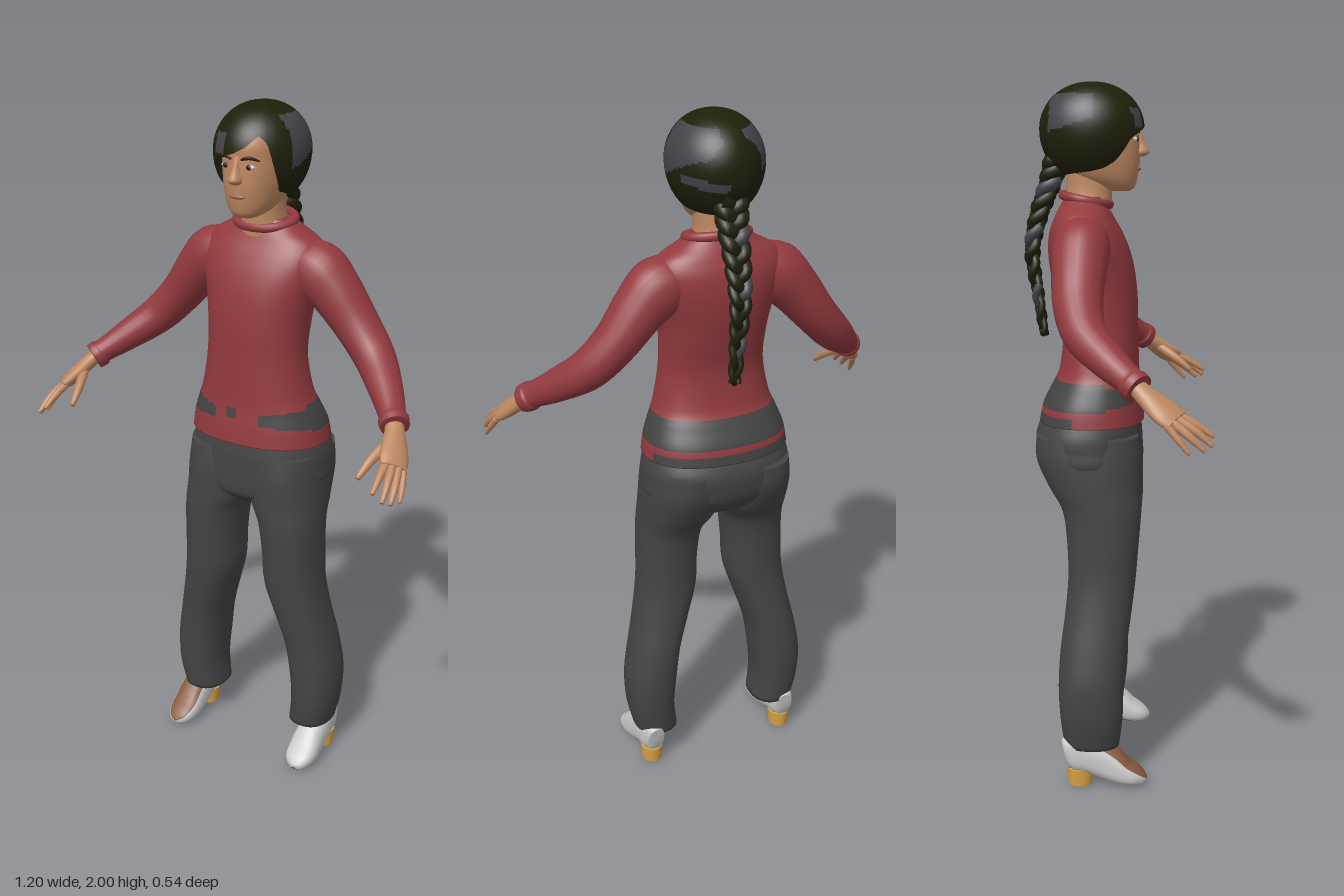
import * as THREE from 'three';

const mat = (name, color, side = THREE.FrontSide) => {
  const m = new THREE.MeshStandardMaterial({ color, side });
  m.name = name;
  return m;
};

// Smooth interpolation through rows of numbers, t in 0..1
function sample(rows, t) {
  const f = t * (rows.length - 1), i = Math.min(Math.floor(f), rows.length - 2), k = f - i;
  const at = (j) => rows[Math.max(0, Math.min(rows.length - 1, j))];
  const [a, b, c, d] = [at(i - 1), at(i), at(i + 1), at(i + 2)];
  return b.map((_, n) => b[n] + 0.5 * k * (c[n] - a[n] + k * (2 * a[n] - 5 * b[n] + 4 * c[n] - d[n]
    + k * (3 * (b[n] - c[n]) + d[n] - a[n]))));
}

// Closed skin from fn(u, v); pick chooses a material index for each quad
function skin(nu, nv, fn, { caps = true, pick = null } = {}) {
  const rows = [];
  for (let j = 0; j <= nv; j++) {
    const ring = [];
    for (let i = 0; i < nu; i++) ring.push(fn(i / nu, j / nv));
    rows.push(ring);
  }
  if (caps) {
    const collapse = (ring) => {
      const c = new THREE.Vector3();
      ring.forEach((p) => c.addScaledVector(p, 1 / nu));
      return ring.map(() => c);
    };
    rows.unshift(collapse(rows[0]));
    rows.push(collapse(rows[rows.length - 1]));
  }
  const pos = rows.flat().flatMap((p) => [p.x, p.y, p.z]);
  const lists = [];
  for (let j = 0; j < rows.length - 1; j++) {
    for (let i = 0; i < nu; i++) {
      const k = (i + 1) % nu, a = j * nu + i, b = j * nu + k, c = b + nu, d = a + nu;
      const mid = rows[j][i].clone().add(rows[j + 1][k]).multiplyScalar(0.5);
      const m = pick ? pick(mid, (i + 0.5) / nu, j / rows.length) : 0;
      (lists[m] ??= []).push(a, b, c, a, c, d);
    }
  }
  const g = new THREE.BufferGeometry();
  g.setAttribute('position', new THREE.Float32BufferAttribute(pos, 3));
  g.setIndex(lists.flat());
  let start = 0;
  lists.forEach((l, m) => {
    if (pick) g.addGroup(start, l.length, m);
    start += l.length;
  });
  g.computeVertexNormals();
  return g;
}

const round = (c, n) => Math.sign(c) * Math.abs(c) ** (2 / n);

// Upright body: rows of [y, halfWidth, zBack, zFront, xCentre], bottom to top
function loft(rows, { nu = 40, nv = 40, n = 2.3, side = 1, pick = null } = {}) {
  return skin(nu, nv, (u, v) => {
    const [y, rx, zb, zf, cx] = sample(rows, v), a = u * Math.PI * 2;
    return new THREE.Vector3(side * cx + rx * round(Math.sin(a), n), y,
      (zb + zf) / 2 + (zf - zb) / 2 * round(Math.cos(a), n));
  }, { pick });
}

// Limb along a path: rows of [x, y, z, radius along ref, other radius]
function limb(rows, { side = 1, ref = [1, 1, 0], nu = 20, nv = 24, n = 2, pick = null } = {}) {
  const P = (v) => { const s = sample(rows, v); return new THREE.Vector3(side * s[0], s[1], s[2]); };
  return skin(nu, nv, (u, v) => {
    const s = sample(rows, v), a = u * Math.PI * 2;
    const T = P(Math.min(1, v + 0.01)).sub(P(Math.max(0, v - 0.01))).normalize();
    const A = new THREE.Vector3(side * ref[0], ref[1], ref[2]);
    A.addScaledVector(T, -A.dot(T)).normalize();
    const B = T.clone().cross(A);
    return P(v).addScaledVector(A, s[3] * round(Math.cos(a), n)).addScaledVector(B, s[4] * round(Math.sin(a), n));
  }, { pick });
}

export function createModel() {
  const red = mat('shirt red', 0x933a3e), grey = mat('trouser grey', 0x444445);
  const hair = mat('dark hair', 0x1f2009, THREE.DoubleSide), streak = mat('hair grey', 0x43434a, THREE.DoubleSide);
  const flesh = mat('skin', 0xbd8760), lip = mat('lips', 0x9c6550), white = mat('shoe white', 0xc9c9c9);
  const tan = mat('heel tan', 0xd8a243), brown = mat('sole brown', 0x8a5a40), dark = mat('eye dark', 0x2c1712);
  const model = new THREE.Group();
  model.name = 'standingFigure';
  const add = (name, geo, material, parent = model) => {
    const m = new THREE.Mesh(geo, material);
    m.name = name;
    parent.add(m);
    return m;
  };
  const ball = (name, material, p, r) => {
    const m = add(name, new THREE.SphereGeometry(1, 16, 12), material);
    m.position.set(...p);
    m.scale.set(...r);
  };

  // Shirt, with the trouser waistband showing round the sides and back
  const waist = ({ x, y, z }) => {
    if (z < -0.03) return (y > 1.095 && y < 1.172) || (z < -0.12 && y < 1.075) ? 1 : 0;
    if (Math.abs(x) > 0.07) return y > 1.105 + (0.2 - Math.abs(x)) * 0.1 && y < 1.135 + Math.abs(x) * 0.15 ? 1 : 0;
    return Math.abs(x + 0.01) < 0.016 && y > 1.125 && y < 1.155 ? 1 : 0;
  };
  add('shirt', loft([
    [1.05, 0.213, -0.228, 0.075, 0], [1.10, 0.205, -0.217, 0.07, 0], [1.15, 0.187, -0.192, 0.063, 0],
    [1.20, 0.168, -0.17, 0.06, 0], [1.30, 0.15, -0.16, 0.057, 0], [1.40, 0.152, -0.18, 0.055, 0],
    [1.48, 0.165, -0.195, 0.046, 0], [1.54, 0.18, -0.2, 0.03, 0], [1.59, 0.185, -0.195, 0.008, 0],
    [1.63, 0.165, -0.18, -0.015, 0], [1.66, 0.115, -0.165, -0.03, 0], [1.685, 0.08, -0.152, -0.04, 0],
  ], { nu: 96, nv: 110, pick: waist }), [red, grey]);
  const collar = add('collar', new THREE.TorusGeometry(0.087, 0.013, 12, 40).rotateX(Math.PI / 2).scale(1, 1, 0.8), red);
  collar.position.set(0, 1.676, -0.092);
  collar.rotation.x = 0.2;

  // Trouser seat
  add('trouserSeat', loft([
    [0.855, 0.07, -0.14, 0.03, 0], [0.885, 0.165, -0.19, 0.064, 0], [0.93, 0.215, -0.226, 0.07, 0],
    [0.98, 0.217, -0.238, 0.07, 0], [1.02, 0.214, -0.237, 0.069, 0], [1.07, 0.2, -0.215, 0.062, 0],
  ]), grey);

  for (const side of [1, -1]) {
    const label = side > 0 ? 'left' : 'right';
    const limbs = new THREE.Group();
    limbs.name = label + 'Limbs';
    model.add(limbs);

    add(label + 'TrouserLeg', loft([
      [0.115, 0.066, -0.15, 0.01, 0.198], [0.2, 0.07, -0.16, 0.02, 0.211], [0.3, 0.076, -0.165, 0.023, 0.208],
      [0.4, 0.075, -0.16, 0.03, 0.192], [0.5, 0.08, -0.148, 0.043, 0.166], [0.6, 0.087, -0.14, 0.055, 0.143],
      [0.7, 0.087, -0.142, 0.063, 0.138], [0.8, 0.092, -0.155, 0.07, 0.13], [0.87, 0.108, -0.195, 0.07, 0.112],
      [0.95, 0.108, -0.23, 0.07, 0.108], [1.02, 0.1, -0.23, 0.06, 0.108],
    ], { side, nv: 50 }), grey, limbs);

    // Shoe with a brown forefoot sole and a tan heel
    add(label + 'Shoe', limb([
      [0.22, 0.09, -0.145, 0.026, 0.045], [0.221, 0.095, -0.12, 0.036, 0.055], [0.222, 0.09, -0.07, 0.042, 0.055],
      [0.222, 0.066, -0.02, 0.046, 0.05], [0.223, 0.043, 0.02, 0.048, 0.038], [0.224, 0.03, 0.055, 0.044, 0.027],
      [0.225, 0.021, 0.078, 0.03, 0.017], [0.225, 0.018, 0.09, 0.012, 0.008],
    ], { side, ref: [1, 0, 0], n: 2.5, nu: 28, pick: (p, u, v) => (Math.sin(u * Math.PI * 2) < -0.6 && v > 0.3 ? 1 : 0) }),
    [white, brown], limbs);
    const heel = add(label + 'Heel', new THREE.CylinderGeometry(0.034, 0.03, 0.05, 20), tan, limbs);
    heel.position.set(side * 0.221, 0.025, -0.103);
    heel.scale.z = 1.15;

    // Sleeve ending in a slightly raised cuff
    add(label + 'Sleeve', limb([
      [0.11, 1.575, -0.095, 0.06, 0.07], [0.17, 1.55, -0.095, 0.084, 0.08], [0.225, 1.5, -0.097, 0.074, 0.076],
      [0.295, 1.415, -0.097, 0.062, 0.068], [0.365, 1.34, -0.075, 0.056, 0.06], [0.435, 1.28, -0.012, 0.046, 0.049],
      [0.485, 1.238, 0.045, 0.036, 0.039], [0.495, 1.229, 0.056, 0.041, 0.043], [0.508, 1.218, 0.072, 0.039, 0.041],
    ], { side, nv: 40 }), red, limbs);

    // Hand
    add(label + 'Palm', limb([
      [0.495, 1.23, 0.055, 0.026, 0.024], [0.512, 1.21, 0.08, 0.028, 0.022], [0.53, 1.182, 0.115, 0.037, 0.022],
      [0.545, 1.16, 0.145, 0.042, 0.019], [0.556, 1.145, 0.168, 0.037, 0.013],
    ], { side, ref: [0.04, -0.025, -0.03] }), flesh, limbs);
    const fingers = {
      Thumb: [[0.515, 1.19, 0.11], [0.492, 1.155, 0.165], [0.478, 1.115, 0.217]],
      Index: [[0.535, 1.16, 0.165], [0.541, 1.135, 0.215], [0.545, 1.105, 0.262]],
      Middle: [[0.55, 1.153, 0.162], [0.564, 1.122, 0.215], [0.572, 1.085, 0.258]],
      Ring: [[0.563, 1.145, 0.154], [0.578, 1.11, 0.2], [0.586, 1.075, 0.238]],
      Little: [[0.572, 1.138, 0.142], [0.586, 1.1, 0.174], [0.594, 1.068, 0.2]],
    };
    for (const [name, [a, b, c]] of Object.entries(fingers)) {
      const r = name === 'Thumb' ? 0.0135 : name === 'Little' ? 0.009 : 0.011;
      add(label + name, limb([[...a, r * 1.15, r * 1.15], [...b, r, r], [...c, r * 0.55, r * 0.55]],
        { side, nu: 10, nv: 8 }), flesh, limbs);
    }
  }

  // Neck, head and face
  add('neck', loft([[1.62, 0.075, -0.165, -0.02, 0], [1.7, 0.058, -0.148, -0.018, 0], [1.8, 0.06, -0.15, -0.01, 0]]), flesh);
  add('head', loft([
    [1.7, 0.026, -0.025, 0.03, 0], [1.712, 0.047, -0.07, 0.046, 0], [1.74, 0.067, -0.13, 0.054, 0],
    [1.78, 0.079, -0.17, 0.06, 0], [1.82, 0.086, -0.19, 0.06, 0], [1.86, 0.09, -0.2, 0.058, 0],
    [1.9, 0.09, -0.195, 0.056, 0], [1.94, 0.08, -0.17, 0.03, 0], [1.97, 0.045, -0.12, -0.03, 0],
  ]), flesh);
  add('nose', loft([
    [1.796, 0.014, 0.03, 0.072, 0], [1.808, 0.02, 0.03, 0.087, 0], [1.835, 0.012, 0.03, 0.074, 0], [1.87, 0.011, 0.03, 0.06, 0],
  ], { nu: 16, nv: 12, n: 2 }), flesh);
  ball('mouth', lip, [0, 1.762, 0.053], [0.026, 0.007, 0.01]);
  for (const s of [1, -1]) {
    ball('eye', white, [s * 0.037, 1.843, 0.048], [0.016, 0.007, 0.008]);
    ball('iris', dark, [s * 0.037, 1.843, 0.053], [0.008, 0.007, 0.005]);
    add('eyebrow', limb([[0.016, 1.862, 0.058, 0.003, 0.003], [0.038, 1.868, 0.053, 0.005, 0.005],
      [0.062, 1.86, 0.038, 0.002, 0.002]], { side: s, nu: 8, nv: 8, ref: [0, 1, 0] }), dark);
  }

  // Hair cap: the hem angle varies round the head to leave a swept fringe
  const hem = [[-180, 150], [-90, 140], [-70, 135], [-55, 125], [-40, 100], [-25, 93], [0, 86], [15, 78],
    [30, 65], [40, 72], [50, 105], [60, 130], [90, 140], [180, 150]];
  const hemAt = (deg) => {
    const i = Math.max(1, hem.findIndex((h) => h[0] >= deg));
    const [a, b] = [hem[i - 1], hem[i]];
    return a[1] + (b[1] - a[1]) * (deg - a[0]) / (b[0] - a[0]);
  };
  const capPoint = (u, v) => {
    const deg = u * 360 - 180, a = THREE.MathUtils.degToRad(deg);
    const th = THREE.MathUtils.degToRad(hemAt(deg) * (1 - v)), s = round(Math.sin(th), 2.15);
    return new THREE.Vector3(0.13 * s * Math.sin(a), 1.87 + (th < Math.PI / 2 ? 0.13 : 0.15) * Math.cos(th),
      -0.075 + 0.148 * s * Math.cos(a));
  };
  const streaks = ({ x, y, z }) => {
    const rightSide = x < -0.03 && z < -0.07 && z > -0.19 && y > 1.88 + (z + 0.13) * 0.3 && y < 1.965;
    const leftSide = x > 0.03 && z < -0.03 && z > -0.2 && y > 1.86 - (z + 0.1) * 0.4 && y < 1.972;
    const nape = z < -0.13 && x > 0.02 && Math.abs(y - 1.82 - x * 0.2) < 0.012;
    const fringe = z > 0 && Math.abs(x + 0.052) < 0.02 && Math.abs(y - 1.9) < 0.027;
    return rightSide || leftSide || nape || fringe ? 1 : 0;
  };
  add('hairCap', skin(96, 48, capPoint, { caps: false, pick: streaks }), [hair, streak]);

  // Three-strand braid hanging down the back
  const spine = [[1.79, -0.175], [1.72, -0.195], [1.63, -0.228], [1.53, -0.247], [1.41, -0.232], [1.29, -0.215]];
  for (let k = 0; k < 3; k++) {
    const rows = [];
    for (let i = 0; i <= 60; i++) {
      const t = i / 60, [y, z] = sample(spine, t), ph = t * Math.PI * 7 + k * Math.PI * 2 / 3;
      const w = 0.028 * (1 - 0.65 * t), r = 0.023 * (1 - 0.65 * t);
      rows.push([w * Math.sin(ph), y, z + 0.55 * w * Math.sin(2 * ph), r, r]);
    }
    add('braidStrand', limb(rows, { nu: 12, nv: 120, ref: [1, 0, 0], pick: (p, u, v) => (k === 0 && (v * 7) % 2 > 1.2 ? 1 : 0) }),
      [hair, streak]);
  }
  return model;
}
